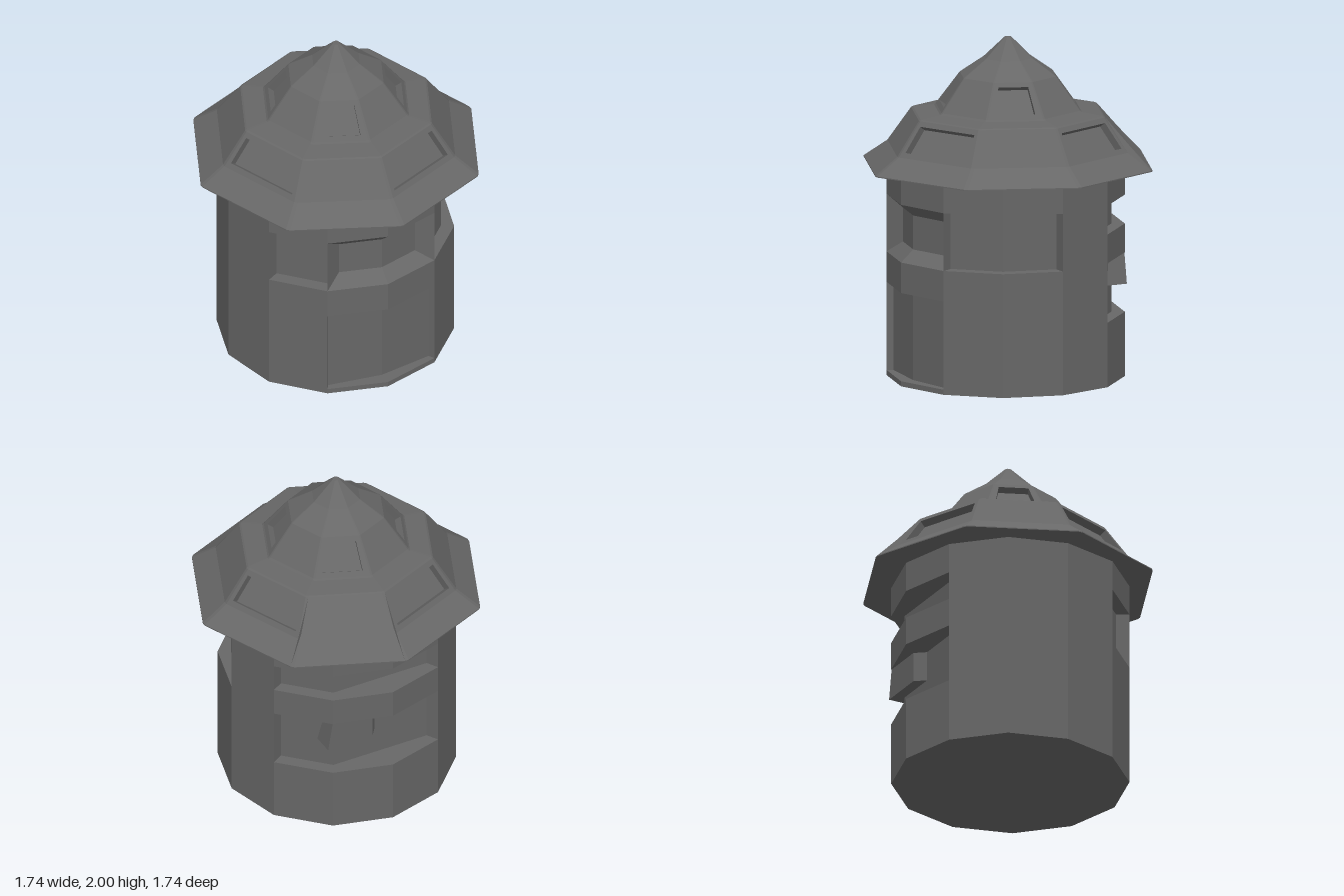
import * as THREE from 'three';

const material = new THREE.MeshStandardMaterial({ color: 0x676767, flatShading: true });

// Point on a ring: angle in degrees (0 = +x, 90 = +z), radius, height
const ring = (deg, r, y) => {
  const a = THREE.MathUtils.degToRad(deg);
  return new THREE.Vector3(Math.cos(a) * r, y, Math.sin(a) * r);
};

// Collects quads (corners counter-clockwise from outside) into one mesh
class Panels {
  constructor() { this.points = []; }
  quad(a, b, c, d) {
    for (const t of [[a, b, c], [a, c, d]]) {
      if (new THREE.Triangle(...t).getArea() > 1e-7) this.points.push(...t);
    }
  }
  mesh(name) {
    const geometry = new THREE.BufferGeometry().setFromPoints(this.points);
    geometry.computeVertexNormals();
    const mesh = new THREE.Mesh(geometry, material);
    mesh.name = name;
    return mesh;
  }
}

// Twelve-sided tower: each cell of the wall is either flush or set back
const OUTER = 0.69, INNER = 0.613, DOOR = 0.65;
const levels = [0, 0.03, 0.38, 0.55, 0.73, 0.9, 1.07, 1.255];

function wallRadius(side, row) {
  if ([2, 3].includes(side) && [1, 2].includes(row)) return DOOR;
  if ([0, 1, 4].includes(side) && [4, 5].includes(row)) return INNER;
  if ([8, 9, 10].includes(side) && [2, 3, 5].includes(row)) return INNER;
  return OUTER;
}

// The door is flatter than the wall, the back of the rear slots quite flat
function wallPoint(deg, r, y) {
  if (deg === 90 && r === DOOR) return ring(deg, 0.61, y);
  if (deg === 270 && r === INNER) return ring(deg, INNER * Math.cos(Math.PI / 6), y);
  return ring(deg, r, y);
}

function createTower() {
  const p = new Panels();
  for (let side = 0; side < 12; side++) {
    const a0 = side * 30, a1 = a0 + 30;
    p.quad(ring(a1, 0, 0), ring(a0, 0, 0), ring(a0, OUTER, 0), ring(a1, OUTER, 0));
    for (let row = 0; row < 7; row++) {
      const y0 = levels[row], y1 = levels[row + 1];
      const r = wallRadius(side, row);
      const above = row < 6 ? wallRadius(side, row + 1) : r;
      const next = wallRadius((side + 1) % 12, row);
      const isFrontWindow = [2, 3].includes(side) && [4, 5].includes(row);
      if (!isFrontWindow) p.quad(wallPoint(a1, r, y0), wallPoint(a0, r, y0), wallPoint(a0, r, y1), wallPoint(a1, r, y1));
      // ledges and end walls where the depth changes
      p.quad(wallPoint(a1, r, y1), wallPoint(a0, r, y1), wallPoint(a0, above, y1), wallPoint(a1, above, y1));
      p.quad(wallPoint(a1, next, y0), wallPoint(a1, r, y0), wallPoint(a1, r, y1), wallPoint(a1, next, y1));
    }
  }
  return p.mesh('tower');
}

// Front window with a bevelled surround, following the bend of the wall
function createFrontWindow() {
  const p = new Panels();
  const V = (x, y, z) => new THREE.Vector3(x, y, z);
  const rows = [0.73, 0.8, 1.0, 1.07];
  const columns = [
    [ring(120, OUTER, 0), V(-0.245, 0, 0.544)],
    [ring(90, OUTER, 0), V(0, 0, 0.61)],
    [ring(60, OUTER, 0), V(0.245, 0, 0.544)],
  ];
  const at = (col, depth, row) => columns[col][depth].clone().setY(rows[row]);
  for (let c = 0; c < 2; c++) {
    p.quad(at(c, 0, 0), at(c + 1, 0, 0), at(c + 1, 1, 1), at(c, 1, 1));
    p.quad(at(c, 1, 1), at(c + 1, 1, 1), at(c + 1, 1, 2), at(c, 1, 2));
    p.quad(at(c, 1, 2), at(c + 1, 1, 2), at(c + 1, 0, 3), at(c, 0, 3));
  }
  p.quad(at(0, 0, 0), at(0, 1, 1), at(0, 1, 2), at(0, 0, 3));
  p.quad(at(2, 1, 1), at(2, 0, 0), at(2, 0, 3), at(2, 1, 2));
  return p.mesh('frontWindow');
}

// Block hanging in the lower rear slot, with slanted ends
function createRearBlock() {
  const p = new Panels();
  const level = (y, endX) => [[endX, -0.45], [endX, -0.585], [0.075, -0.585], [0.01, -0.5]]
    .map(([x, z]) => new THREE.Vector3(x, y, z));
  const low = level(0.55, 0.365), high = level(0.73, 0.335);
  for (let k = 0; k < 4; k++) {
    const n = (k + 1) % 4;
    p.quad(low[k], low[n], high[n], high[k]);
  }
  p.quad(...high);
  p.quad(...low.reverse());
  return p.mesh('rearSlotBlock');
}

// Roof panel with a sunken window; insets are fractions of the panel
function windowPanel(p, corners, u, v, depth) {
  const [a, b, c, d] = corners;
  const at = (s, t) => a.clone().lerp(b, s).lerp(d.clone().lerp(c, s), t);
  const rim = [at(u, v), at(1 - u, v), at(1 - u, 1 - v), at(u, 1 - v)];
  const normal = c.clone().sub(a).cross(d.clone().sub(b)).normalize();
  const pane = rim.map((q) => q.clone().addScaledVector(normal, -depth));
  for (let k = 0; k < 4; k++) {
    const n = (k + 1) % 4;
    p.quad(corners[k], corners[n], rim[n], rim[k]);
    p.quad(rim[k], rim[n], pane[n], pane[k]);
  }
  p.quad(...pane);
}

// Eight-sided two-tier roof with softened corners, windows on alternate sides
function createRoof() {
  const p = new Panels();
  const CHAMFER = 0.8;
  const profile = [
    [0, 1.25], [0.868, 1.25], [0.868, 1.256], [0.725, 1.355], [0.583, 1.555], [0.572, 1.561],
    [0.445, 1.578], [0.435, 1.587], [0.29, 1.78], [0.145, 1.88], [0.02, 2], [0, 2],
  ];
  // the fold of the lower tier sits a little higher on one rear side
  const corner = (i, deg) => {
    const [r, y] = profile[i];
    return ring(deg, r, i === 3 && deg > 270 && deg < 315 ? 1.4 : y);
  };
  for (let side = 0; side < 8; side++) {
    const a0 = side * 45 + CHAMFER, a1 = (side + 1) * 45 - CHAMFER, a2 = a1 + 2 * CHAMFER;
    for (let i = 0; i < profile.length - 1; i++) {
      const panel = (from, to) => [corner(i, to), corner(i, from), corner(i + 1, from), corner(i + 1, to)];
      const c = panel(a0, a1);
      if (i === 3 && side % 2 === 1) windowPanel(p, c, 0.05, 0.14, 0.045);
      else if (i === 7 && side % 2 === 0) windowPanel(p, c, 0.12, 0.13, 0.04);
      else p.quad(...c);
      p.quad(...panel(a1, a2));
    }
  }
  return p.mesh('roof');
}

export function createModel() {
  const model = new THREE.Group();
  model.name = 'watchtower';

  const body = new THREE.Group();
  body.name = 'body';
  body.position.set(-0.01, 0, 0.01);
  body.add(createTower(), createFrontWindow());

  model.add(body, createRearBlock(), createRoof());
  return model;
}
